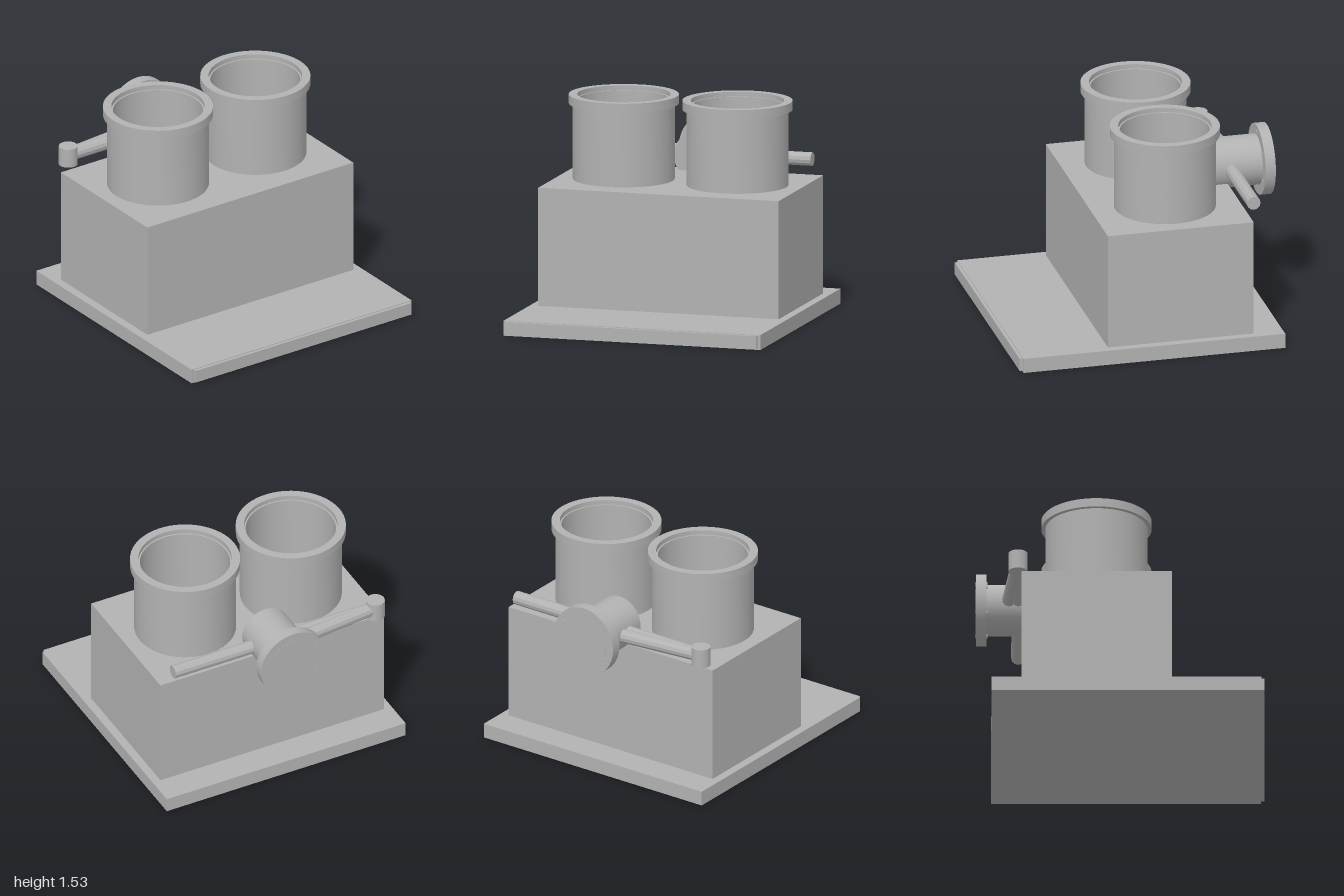
import * as THREE from 'three';
import { toCreasedNormals } from 'three/addons/utils/BufferGeometryUtils.js';

export function createModel() {
  const model = new THREE.Group();
  model.name = 'twinBarrelUnit';

  const grey = new THREE.MeshStandardMaterial({ color: 0xb2b2b2 });
  grey.name = 'grey metal';
  const blue = new THREE.MeshStandardMaterial({ color: 0x5588a3 });
  blue.name = 'blue glass';

  const add = (name, geometry, material = grey, parent = model) => {
    const mesh = new THREE.Mesh(geometry, material);
    mesh.name = name;
    parent.add(mesh);
    return mesh;
  };

  // Box given by its minimum and maximum corners
  const block = (name, a, b) =>
    add(name, new THREE.BoxGeometry(b[0] - a[0], b[1] - a[1], b[2] - a[2]))
      .position.set((a[0] + b[0]) / 2, (a[1] + b[1]) / 2, (a[2] + b[2]) / 2);

  // Cylinder running between two points
  const rod = (name, a, b, radius, sides = 48, flat = false) => {
    const start = new THREE.Vector3(...a);
    const end = new THREE.Vector3(...b);
    const axis = end.clone().sub(start);
    let geometry = new THREE.CylinderGeometry(radius, radius, axis.length(), sides);
    if (flat) geometry = toCreasedNormals(geometry, 0.2);
    const mesh = add(name, geometry);
    mesh.position.copy(start).add(end).multiplyScalar(0.5);
    mesh.quaternion.setFromUnitVectors(new THREE.Vector3(0, 1, 0), axis.normalize());
    return mesh;
  };

  // Base plate, front trim and body
  block('basePlate', [-0.93, 0, -0.89], [0.93, 0.105, 0.977]);
  block('frontTrim', [-0.91, 0.01, 0.977], [0.91, 0.1, 1]);
  block('body', [-0.87, 0.105, -0.68], [0.87, 0.935, 0.36]);

  // Open barrels with a rim and a stepped mouth, blue disc at the bottom
  const profile = [
    [0.353, 0.935], [0.353, 1.465], [0.381, 1.465], [0.381, 1.528],
    [0.323, 1.528], [0.323, 1.495], [0.312, 1.495], [0.312, 0.935],
  ].map(([x, y]) => new THREE.Vector2(x, y));
  const barrelGeometry = toCreasedNormals(new THREE.LatheGeometry(profile, 64), 0.6);
  const discGeometry = new THREE.CylinderGeometry(0.312, 0.312, 0.008, 64);
  for (const [side, x] of [['left', 0.41], ['right', -0.413]]) {
    const barrel = new THREE.Group();
    barrel.name = side + 'Barrel';
    barrel.position.set(x, 0, -0.163);
    add('barrelWall', barrelGeometry, grey, barrel);
    add('barrelDisc', discGeometry, blue, barrel).position.y = 0.941;
    model.add(barrel);
  }

  // Rear pipe with flange and cover
  const pipeY = 1.04;
  rod('rearPipe', [0, pipeY, -0.572], [0, pipeY, -0.93], 0.178);
  rod('rearFlange', [0, pipeY, -0.922], [0, pipeY, -0.996], 0.25, 64);
  rod('flangeCover', [0, pipeY, -0.99], [0, pipeY, -0.998], 0.19, 64);

  // Ring of flange bolts
  for (let i = 0; i < 6; i++) {
    const angle = Math.PI / 6 + (i * Math.PI) / 3;
    const x = 0.2 * Math.cos(angle);
    const y = pipeY + 0.2 * Math.sin(angle);
    rod('flangeBolt', [x, y, -0.917], [x, y, -1], 0.015, 12);
  }

  // Side rods, slanted brace and upright end knob
  rod('leftRod', [0.1, pipeY, -0.703], [0.785, pipeY, -0.703], 0.048, 12, true);
  rod('rightRod', [-0.1, pipeY, -0.703], [-0.79, pipeY, -0.703], 0.048, 12, true);
  rod('slantedBrace', [-0.1, pipeY, -0.775], [-0.79, pipeY, -0.703], 0.048, 12, true);
  rod('endKnob', [-0.79, 0.97, -0.705], [-0.79, 1.108, -0.705], 0.066, 24);

  return model;
}
